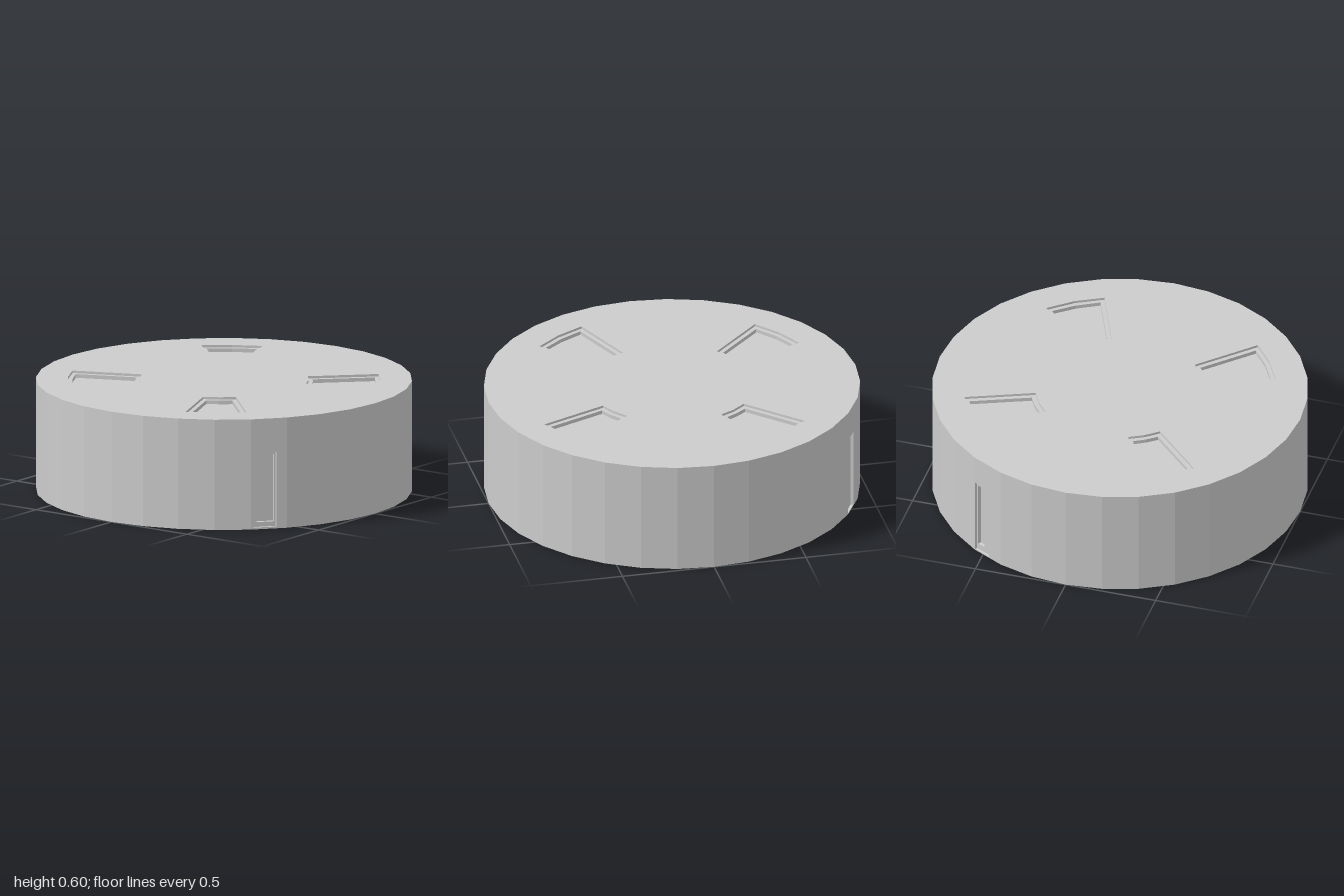
import * as THREE from 'three';

const SIDES = 32, HEIGHT = 0.6, STEP = (Math.PI * 2) / SIDES;
const material = new THREE.MeshStandardMaterial({ color: 0xcccccc, flatShading: true });
const v2 = (x, y) => new THREE.Vector2(x, y);
const polar = (r, a) => v2(r * Math.cos(a), r * Math.sin(a));
const rect = (x0, y0, x1, y1) => [v2(x0, y0), v2(x1, y0), v2(x1, y1), v2(x0, y1)];

function mesh(name, geometry, z = 0) {
  const m = new THREE.Mesh(geometry, material);
  m.name = name;
  m.position.z = z;
  return m;
}

// Flat face in the local xy plane, with optional openings
function face(name, outline, holes = [], z = 0) {
  const shape = new THREE.Shape(outline);
  holes.forEach((h) => shape.holes.push(new THREE.Path(h)));
  return mesh(name, new THREE.ShapeGeometry(shape), z);
}

// Inward-facing walls along a counter-clockwise outline, from z = top to z = bottom
function walls(name, outline, top, bottom) {
  const pos = [];
  outline.forEach((a, i) => {
    const b = outline[(i + 1) % outline.length];
    pos.push(b.x, b.y, bottom, a.x, a.y, bottom, a.x, a.y, top);
    pos.push(b.x, b.y, bottom, a.x, a.y, top, b.x, b.y, top);
  });
  const g = new THREE.BufferGeometry();
  g.setAttribute('position', new THREE.Float32BufferAttribute(pos, 3));
  g.computeVertexNormals();
  return mesh(name, g);
}

// Stepped recess: rim wall, narrow ledge, inner wall and floor
function recess(name, outer, inner, d1, d2) {
  const g = new THREE.Group();
  g.name = name;
  g.add(
    walls('rimWall', outer, 0, -d1),
    face('ledge', outer, [inner], -d1),
    walls('innerWall', inner, -d1, -d1 - d2),
    face('floor', inner, [], -d1 - d2)
  );
  return g;
}

// Wedge outline between two radii, inset evenly on all edges
function wedge(start, inset) {
  const sweep = 2 * STEP, r0 = 0.45 + inset, r1 = 0.83 - inset;
  const row = (r) => {
    const d = Math.asin(inset / r);
    return [start + d, start + sweep / 2, start + sweep - d].map((a) => polar(r, a));
  };
  return [...row(r1), ...row(r0).reverse()];
}

export function createModel() {
  const model = new THREE.Group();
  model.name = 'drum';
  const rim = Array.from({ length: SIDES }, (_, i) => polar(1, i * STEP));

  // Top with four wedge pockets
  const top = new THREE.Group();
  top.name = 'top';
  const openings = [];
  for (let k = 0; k < 4; k++) {
    const start = Math.PI / 2 * k - 6 * STEP;
    const outer = wedge(start, 0);
    openings.push(outer);
    top.add(recess('wedgePocket', outer, wedge(start, 0.023), 0.013, 0.02));
  }
  top.add(face('topFace', rim, openings));
  top.rotation.x = -Math.PI / 2;
  top.position.y = HEIGHT;
  model.add(top);

  // Underside
  const base = face('underside', rim);
  base.rotation.x = Math.PI / 2;
  model.add(base);

  // Side panels, two of them with a recessed doorway
  const doors = {
    28: [rect(0.013, 0.01, 0.138, 0.415), rect(0.034, 0.036, 0.128, 0.403)],
    13: [rect(0.004, 0.005, 0.108, 0.438), rect(0.012, 0.036, 0.06, 0.415)],
  };
  const width = 2 * Math.sin(STEP / 2);
  for (let i = 0; i < SIDES; i++) {
    const side = new THREE.Group();
    side.name = 'sidePanel';
    const door = doors[i];
    side.add(face('panelFace', rect(0, 0, width, HEIGHT), door ? [door[0]] : []));
    if (door) side.add(recess('doorway', door[0], door[1], 0.015, 0.02));
    side.position.set(Math.sin(i * STEP), 0, Math.cos(i * STEP));
    side.rotation.y = (i + 0.5) * STEP;
    model.add(side);
  }
  return model;
}
